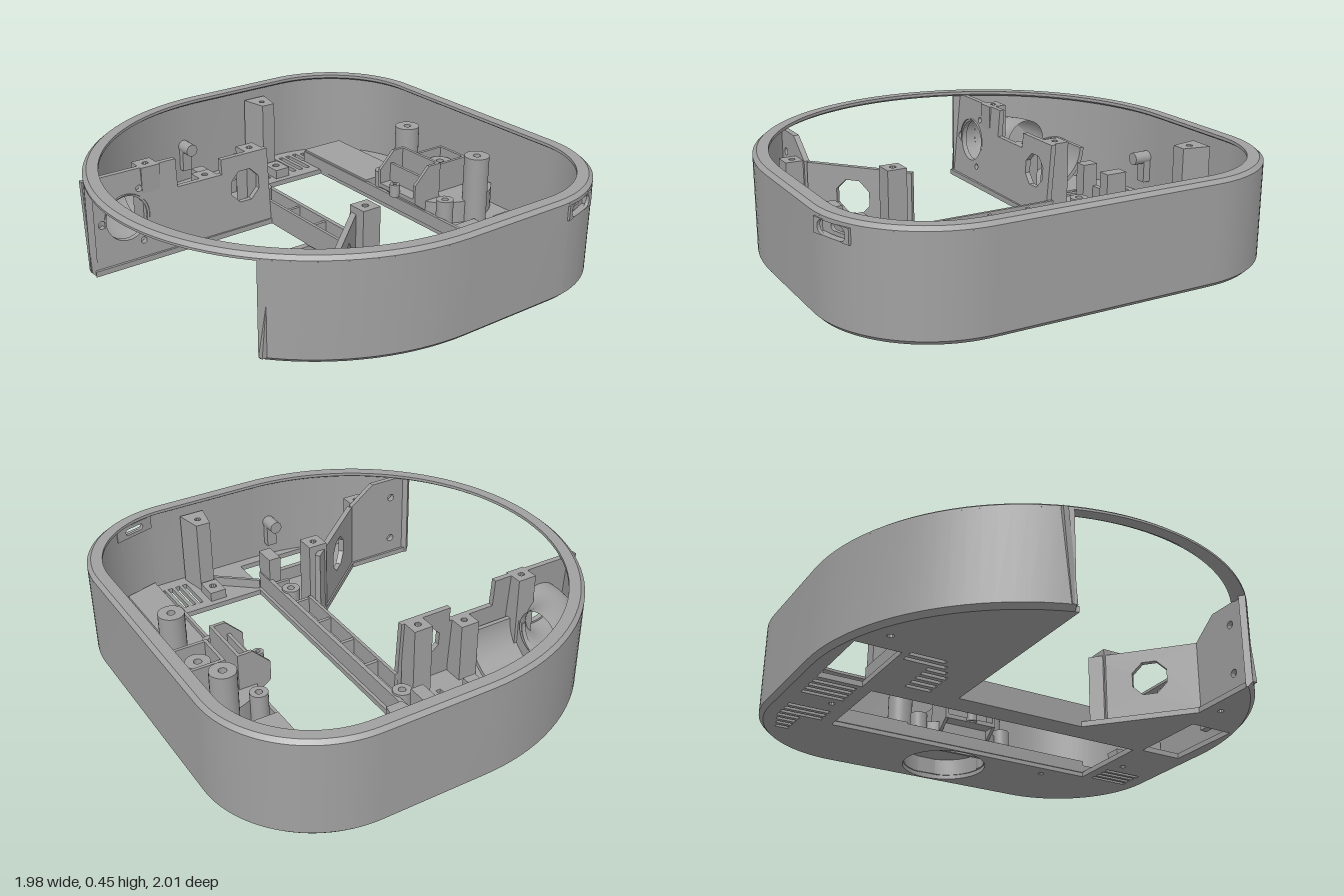
import * as THREE from 'three';
import { toCreasedNormals } from 'three/addons/utils/BufferGeometryUtils.js';

const PI = Math.PI, H = PI / 2;

// Points along the outline (semicircle on the left, rounded corners on the right), angle falling from a0 to a1
function path(a0, a1, off = 0) {
  const pts = [];
  const arcs = [[0.01, 0, 1, PI, H], [0.49, 0.5, 0.5, H, 0], [0.49, -0.5, 0.5, 0, -H], [0.01, 0, 1, -H, -PI]];
  for (const [cx, cz, r, s, e] of arcs) {
    const from = Math.min(s, a0), to = Math.max(e, a1);
    if (from <= to) continue;
    const n = Math.ceil((from - to) / 0.06);
    for (let i = 0; i <= n; i++) {
      const a = from + (to - from) * i / n;
      pts.push([cx + (r - off) * Math.cos(a), cz + (r - off) * Math.sin(a)]);
    }
  }
  return pts;
}

// Sweeps a closed profile of [inset, height] along the outline
function sweep(a0, a1, profile) {
  const rails = profile.map(([o]) => path(a0, a1, o)), pos = [], m = profile.length;
  const P = (i, j) => [rails[j % m][i][0], profile[j % m][1], rails[j % m][i][1]];
  const tri = (...p) => p.forEach(v => pos.push(...v));
  const n = rails[0].length;
  for (let i = 0; i < n - 1; i++) for (let j = 0; j < m; j++) {
    tri(P(i, j), P(i + 1, j), P(i + 1, j + 1));
    tri(P(i, j), P(i + 1, j + 1), P(i, j + 1));
  }
  if (a0 - a1 < 2 * PI - 0.01) for (let j = 1; j < m - 1; j++) {
    tri(P(0, 0), P(0, j), P(0, j + 1));
    tri(P(n - 1, 0), P(n - 1, j + 1), P(n - 1, j));
  }
  const g = new THREE.BufferGeometry();
  g.setAttribute('position', new THREE.Float32BufferAttribute(pos, 3));
  return toCreasedNormals(g, 0.5);
}

const poly = pts => new THREE.Shape(pts.map(p => new THREE.Vector2(...p)));
const rect = (x0, y0, x1, y1) => poly([[x0, y0], [x1, y0], [x1, y1], [x0, y1]]);
const disc = (x, y, r, n = 24) => poly(Array.from({ length: n }, (_, i) =>
  [x + r * Math.cos((i + 0.5) * 2 * PI / n), y + r * Math.sin((i + 0.5) * 2 * PI / n)]));
const pill = (x, y, w, r) => {
  const pts = [];
  for (let i = 0; i <= 20; i++) {
    const a = -H + (i + (i > 10 ? -1 : 0)) * PI / 10;
    pts.push([x + (i <= 10 ? w : -w) + r * Math.cos(i <= 10 ? a : a + PI / 10), y + r * Math.sin(i <= 10 ? a : a + PI / 10)]);
  }
  return poly(pts);
};
const extrude = (shape, depth, holes = []) => {
  shape.holes = holes;
  return toCreasedNormals(new THREE.ExtrudeGeometry(shape, { depth, bevelEnabled: false }), 0.5);
};
// Horizontal slab from a plan shape in (x, z)
const slab = (shape, y0, y1, holes) => extrude(shape, y1 - y0, holes).rotateX(H).translate(0, y1, 0);

export function createModel() {
  const group = new THREE.Group();
  const grey = new THREE.MeshStandardMaterial({ color: 0xa0a0a0, side: THREE.DoubleSide });
  grey.name = 'plain grey';
  const add = (name, geo) => {
    const mesh = new THREE.Mesh(geo, grey);
    mesh.name = name;
    group.add(mesh);
    return mesh;
  };
  const box = (name, x0, x1, y0, y1, z0, z1) =>
    add(name, new THREE.BoxGeometry(x1 - x0, y1 - y0, z1 - z0).translate((x0 + x1) / 2, (y0 + y1) / 2, (z0 + z1) / 2));
  const boss = (name, x, z, r, y0, y1, hole = r * 0.4) => add(name, slab(disc(x, z, r), y0, y1, [disc(x, z, hole, 12)]));

  // Outer wall with a gap on the left and a port opening at the front corner
  const A = 2.42, B = -2.8, S0 = 1.46, S1 = 1.09;
  const wall = [[0.02, 0], [0, 0.02], [0, 0.43], [0.03, 0.43], [0.03, 0]];
  add('frontWall', sweep(A, S0, wall));
  add('mainWall', sweep(S1, B, wall));
  add('wallBelowPort', sweep(S0, S1, [[0.02, 0], [0, 0.02], [0, 0.36], [0.03, 0.36], [0.03, 0]]));
  add('wallAbovePort', sweep(S0, S1, [[0, 0.418], [0, 0.43], [0.03, 0.43], [0.03, 0.418]]));
  add('topRim', sweep(PI, -PI, [[0, 0.425], [0, 0.435], [0.018, 0.45], [0.068, 0.45], [0.068, 0.436], [0.05, 0.425]]));

  // Port frame following the chord of the corner, with a recessed slotted plate
  const port = (name, w, r, depth) => {
    const mesh = add(name, extrude(rect(-0.1, -0.032, 0.1, 0.032), 0.015, [pill(0, 0, w, r)]));
    mesh.position.set(0.632, 0.389, 0.963 - depth);
    mesh.rotation.y = 0.29;
  };
  port('portFrame', 0.05, 0.029, 0);
  port('portPlate', 0.035, 0.015, 0.035);

  // Floor with openings, vents and screw holes
  const cuts = [rect(0.12, -0.67, 0.55, 0.67), rect(-0.28, -0.92, 0.1, -0.72), rect(-0.28, 0.71, 0.1, 0.92), disc(0.76, 0, 0.2, 40)];
  for (let i = 0; i < 4; i++) {
    cuts.push(rect(0.13 + i * 0.042, -0.92, 0.152 + i * 0.042, -0.73));
    cuts.push(rect(0.405 + i * 0.038, 0.72, 0.427 + i * 0.038, 0.91));
  }
  for (let i = 0; i < 7; i++) {
    cuts.push(rect(0.415 + i * 0.043, -0.92 + Math.max(0, i - 3) * 0.013, 0.438 + i * 0.043, i < 3 ? -0.73 : -0.82));
    cuts.push(rect(-0.3 + i * 0.047, i < 2 ? -0.69 : -0.57, -0.277 + i * 0.047, -0.53 + Math.min(i, 3) * 0.025));
  }
  for (const [x, z] of [[0.33, -0.76], [0.33, 0.76], [0.62, 0.47], [-0.39, -0.82], [-0.46, 0.72]]) cuts.push(disc(x, z, 0.015, 10));
  add('floor', slab(poly([...path(A, -2.816, 0.02), [0, -0.32], [0, 0.3], [-0.4, 0.65]]), 0, 0.025, cuts));

  // Back partition, leaning backwards
  const back = poly([[-0.93, 0.02], [0, 0.02], [0, 0.37], [-0.25, 0.37], [-0.25, 0.3], [-0.48, 0.3], [-0.48, 0.43], [-0.93, 0.43]]);
  const backGeo = extrude(back, 0.025, [disc(-0.74, 0.22, 0.1), disc(-0.86, 0.22, 0.018, 12), disc(-0.67, 0.34, 0.015, 12),
    disc(-0.67, 0.1, 0.015, 12), disc(-0.13, 0.22, 0.08, 8)]);
  add('backPartition', backGeo.applyMatrix4(new THREE.Matrix4().makeShear(0, 0, 0, -0.08, 0, 0)).translate(0, 0, -0.35));

  // Front partition: straight end piece and diagonal piece with an octagonal opening
  const end = extrude(poly([[-0.74, 0.02], [-0.4, 0.02], [-0.4, 0.34], [-0.52, 0.43], [-0.7, 0.43]]), 0.025,
    [disc(-0.63, 0.1, 0.018, 12), disc(-0.63, 0.33, 0.018, 12)]);
  add('frontPartitionEnd', end.translate(0, 0, 0.66));
  const diagonal = add('frontPartitionDiagonal', extrude(rect(0, 0.02, 0.5, 0.34), 0.025, [disc(0.22, 0.2, 0.085, 8)]));
  diagonal.position.set(-0.4, 0, 0.66);
  diagonal.rotation.y = 0.72;

  // Screw posts standing against the partitions
  for (const [x, z, h] of [[-0.61, -0.395, 0.43], [-0.31, -0.4, 0.3], [-0.06, -0.41, 0.37], [-0.04, 0.42, 0.37], [-0.46, 0.72, 0.34]])
    add('partitionPost', slab(rect(x - 0.045, z - 0.045, x + 0.045, z + 0.045), 0.02, h, [disc(x, z, 0.015, 10)]));

  // Air duct elbow from the partition to the open motor cradle
  const bend = new THREE.CatmullRomCurve3(Array.from({ length: 9 }, (_, i) => {
    const a = PI - i * H / 8;
    return new THREE.Vector3(-0.58 + 0.16 * Math.cos(a), 0.22, -0.41 - 0.16 * Math.sin(a));
  }));
  add('ductElbow', new THREE.TubeGeometry(bend, 24, 0.11, 28));
  add('ductInlet', new THREE.CylinderGeometry(0.11, 0.11, 0.08, 28, 1, true).rotateX(H).translate(-0.74, 0.22, -0.38));
  const ring = (name, r0, r1, x0, x1) => {
    const s = new THREE.Shape().absarc(0, 0, r1, PI, 2 * PI).absarc(0, 0, r0, 2 * PI, PI, true);
    add(name, toCreasedNormals(new THREE.ExtrudeGeometry(s, { depth: x1 - x0, bevelEnabled: false, curveSegments: 24 }), 0.5)
      .rotateY(H).translate(x0, 0.22, -0.575));
  };
  ring('motorCradle', 0.175, 0.195, -0.59, -0.355);
  ring('motorCradleLip', 0.11, 0.195, -0.6, -0.58);

  // Cell rail along the inner edge of the battery opening
  box('railSideOuter', 0, 0.015, 0.02, 0.11, -0.36, 0.38);
  box('railSideInner', 0.085, 0.105, 0.02, 0.11, -0.7, 0.7);
  for (let i = 0; i < 5; i++) box('railDivider', 0.01, 0.09, 0.02, 0.1, -0.22 + i * 0.2 - 0.008, -0.22 + i * 0.2 + 0.008);

  // Parts mirrored front to back
  for (const s of [-1, 1]) {
    const zBox = (name, x0, x1, y0, y1, a, b) => box(name, x0, x1, y0, y1, Math.min(a * s, b * s), Math.max(a * s, b * s));
    zBox('wheelMountBlock', -0.2, -0.14, 0.02, 0.2, 0.63, 0.705);
    zBox('wheelMountBlock', 0.04, 0.1, 0.02, 0.22, 0.6, 0.705);
    zBox('wheelMountBar', -0.2, 0.1, 0.02, 0.09, 0.685, 0.71);
    boss('railBoss', 0.055, 0.475 * s, 0.042, 0.02, 0.12);
    add('wheelPeg', new THREE.CylinderGeometry(0.03, 0.03, 0.09, 20).rotateX(H).translate(-0.09, 0.21, 0.925 * s));
    zBox('wheelPegFoot', -0.115, -0.065, 0.09, 0.21, 0.93, 0.975);
    const post = [[0.27, 0.95], [0.39, 0.95], [0.365, 0.82], [0.295, 0.82]].map(([x, z]) => [x, z * s]);
    add('wallPost', slab(poly(post), 0.02, 0.38, [disc(0.33, 0.88 * s, 0.015, 10)]));
    add('clipPad', slab(rect(0.29, 0.7 * s, 0.37, 0.81 * s), 0.02, 0.07, [disc(0.33, 0.76 * s, 0.018, 10)]));
    boss('tallBoss', 0.76, 0.245 * s, 0.058, 0.02, 0.345, 0.018);
    boss('smallBoss', 0.595, 0.222 * s, 0.04, 0.02, 0.16, 0.016);
    // Wedge cheeks of the sensor bracket
    const cheek = extrude(poly([[0.49, 0.13], [0.64, 0.02], [0.64, 0.3], [0.57, 0.3], [0.49, 0.22]]), 0.015);
    add('bracketCheek', cheek.translate(0, 0, 0.125 * s - 0.0075));
  }

  // Caster housing: hollow drum cut off by the right wall, with a square socket on top
  const drum = [];
  for (let i = 0; i <= 36; i++) {
    const a = 0.71 + i * (2 * PI - 1.42) / 36;
    drum.push([0.76 + 0.25 * Math.cos(a), 0.25 * Math.sin(a)]);
  }
  const drumShape = () => poly(drum.map(([x, z]) => [Math.max(x, 0.555), z]));
  add('casterDrum', slab(drumShape(), 0.02, 0.1, [disc(0.76, 0, 0.195, 40)]));
  add('casterDrumTop', slab(drumShape(), 0.1, 0.13));
  add('casterSocket', slab(rect(0.675, -0.09, 0.845, 0.09), 0.13, 0.27, [rect(0.69, -0.075, 0.83, 0.075)]));
  boss('casterPin', 0.76, 0, 0.055, 0.13, 0.24, 0.018);

  // Sensor bracket over the battery opening
  box('bracketBase', 0.49, 0.64, 0.13, 0.15, -0.13, 0.13);
  box('bracketBack', 0.625, 0.64, 0.02, 0.3, -0.13, 0.13);
  box('bracketRib', 0.55, 0.565, 0.15, 0.24, -0.13, 0.13);
  boss('bracketEyelet', 0.48, 0, 0.024, 0.13, 0.19, 0.01);

  // Covers beside the battery opening
  add('backCover', slab(rect(0.55, -0.81, 0.775, -0.3), 0.02, 0.09));
  add('frontCover', slab(poly([[0.55, 0.3], [0.71, 0.3], [0.71, 0.9], [0.55, 0.95]]), 0.02, 0.06, [disc(0.62, 0.47, 0.014, 10)]));
  box('coverStrip', 0.71, 0.74, 0.02, 0.04, 0.3, 0.88);
  box('openingLip', 0.545, 0.56, 0.02, 0.08, -0.81, 0.67);

  // Low stiffening ribs on the front floor
  for (const [x0, z0, x1, z1] of [[0.11, 0.69, 0.29, 0.84], [-0.1, 0.45, -0.38, 0.7], [-0.38, 0.7, -0.62, 0.7]]) {
    const len = Math.hypot(x1 - x0, z1 - z0);
    const rib = add('floorRib', new THREE.BoxGeometry(len, 0.05, 0.015));
    rib.position.set((x0 + x1) / 2, 0.045, (z0 + z1) / 2);
    rib.rotation.y = -Math.atan2(z1 - z0, x1 - x0);
  }
  return group;
}
